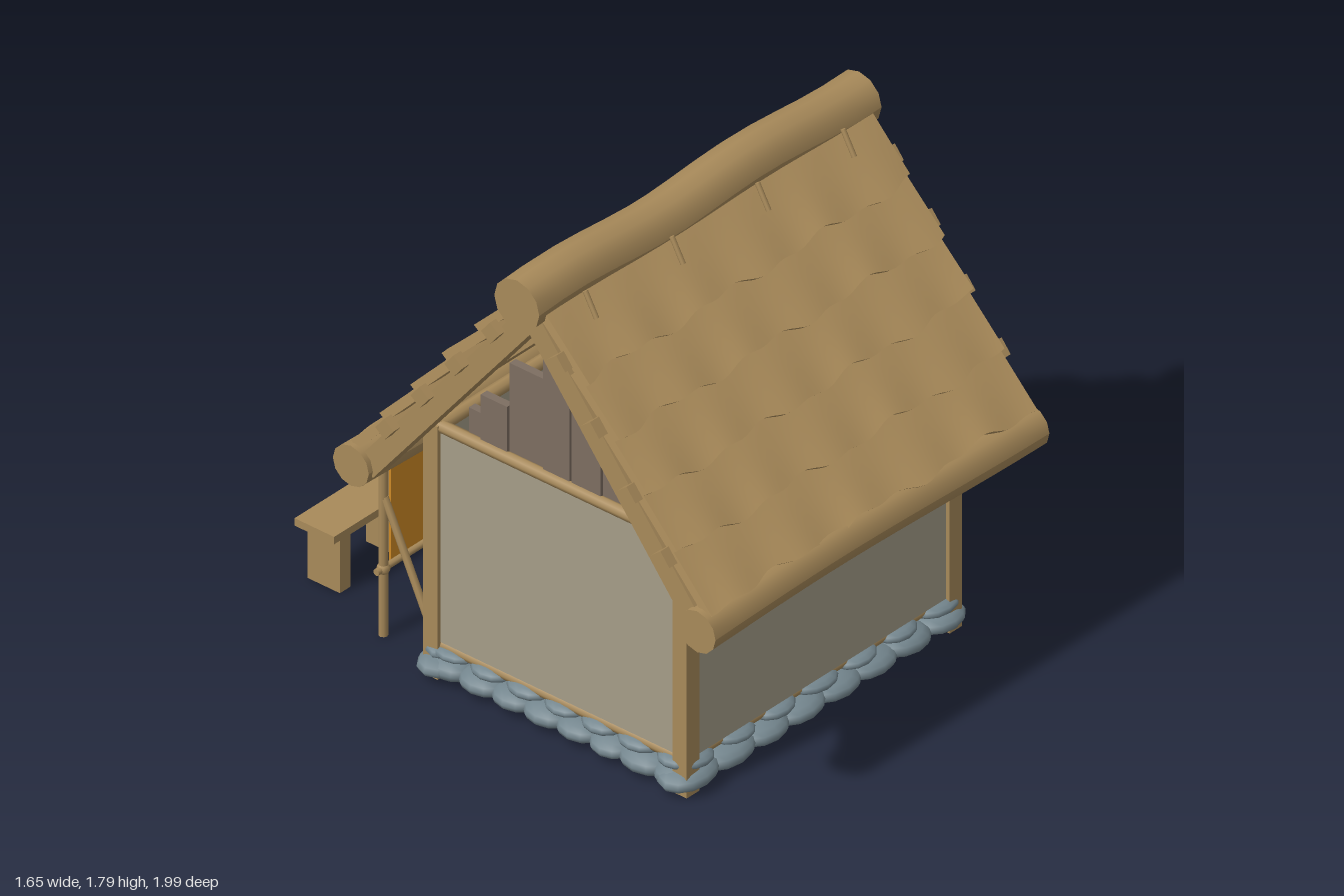
import * as THREE from 'three';

const mat = (name, color, side = THREE.FrontSide) => {
  const m = new THREE.MeshStandardMaterial({ color, side });
  m.name = name;
  return m;
};

export function createModel() {
  const thatch = mat('thatch', 0xb2925f);
  const wood = mat('wood', 0xa88a5a);
  const plaster = mat('plaster', 0xa59d88);
  const plank = mat('weathered plank', 0x7d6e61);
  const stone = mat('stone', 0x74868e);
  const ochre = mat('ochre', 0xcf8a26);
  const red = mat('red cloth', 0x9a2a2a, THREE.DoubleSide);
  const grey = mat('grey cloth', 0x9a978b, THREE.DoubleSide);
  const slate = mat('slate door', 0x4a575e);
  const iron = mat('iron', 0x35322e);

  const root = new THREE.Group();
  root.name = 'cottage';
  let seed = 7;
  const rnd = () => (seed = (seed * 16807) % 2147483647) / 2147483647;

  const add = (name, geo, m, parent = root) => {
    const mesh = new THREE.Mesh(geo, m);
    mesh.name = name;
    parent.add(mesh);
    return mesh;
  };
  const group = (name, parent = root) => {
    const g = new THREE.Group();
    g.name = name;
    parent.add(g);
    return g;
  };
  // box given by its limits on each axis
  const box = (name, m, x0, x1, y0, y1, z0, z1, parent) => {
    const b = add(name, new THREE.BoxGeometry(x1 - x0, y1 - y0, z1 - z0), m, parent);
    b.position.set((x0 + x1) / 2, (y0 + y1) / 2, (z0 + z1) / 2);
    return b;
  };
  // round bar between two points
  const rod = (name, m, a, b, r, parent) => {
    const p = new THREE.Vector3(...a), q = new THREE.Vector3(...b);
    const mesh = add(name, new THREE.CylinderGeometry(r, r, p.distanceTo(q), 8), m, parent);
    mesh.position.copy(p).lerp(q, 0.5);
    mesh.quaternion.setFromUnitVectors(new THREE.Vector3(0, 1, 0), q.sub(p).normalize());
    return mesh;
  };
  // gently bent log along x
  const log = (name, r, half, y, z, bend) => {
    const g = new THREE.CylinderGeometry(r, r, half * 2, 12, 14).rotateZ(Math.PI / 2);
    const p = g.attributes.position;
    for (let i = 0; i < p.count; i++) p.setY(i, p.getY(i) + bend(p.getX(i)));
    g.computeVertexNormals();
    add(name, g, wood).position.set(0, y, z);
  };

  // walls and timber frame
  const walls = group('walls');
  box('frontWall', plaster, -0.6, 0.6, 0.135, 0.95, 0.69, 0.735, walls);
  box('backWallLeft', plaster, 0.44, 0.6, 0.135, 0.95, -0.32, -0.28, walls);
  box('backWallRight', plaster, -0.6, 0.03, 0.135, 0.95, -0.32, -0.28, walls);
  for (const s of [-1, 1]) {
    const side = box('sideWall', plaster, -0.02, 0.02, 0.145, 0.935, -0.295, 0.69, walls);
    side.position.x = s * 0.625;
    for (const z of [0.72, -0.32]) {
      box('cornerPost', wood, s * 0.63 - 0.03, s * 0.63 + 0.03, 0.01, 0.96, z - 0.03, z + 0.03, walls);
    }
    rod('topPlate', wood, [s * 0.635, 0.95, 0.76], [s * 0.635, 0.95, -0.35], 0.022, walls);
    rod('sideSill', wood, [s * 0.63, 0.13, 0.72], [s * 0.63, 0.13, -0.32], 0.02, walls);
    box('innerPost', wood, s * 0.59 - 0.015, s * 0.59 + 0.015, 0.1, 0.95, 0.18, 0.23, walls);
  }
  for (const z of [0.71, -0.3]) {
    rod('crossPlate', wood, [-0.64, 0.95, z], [0.64, 0.95, z], 0.025, walls);
    rod('crossSill', wood, [-0.63, 0.12, z], [0.63, 0.12, z], 0.018, walls);
  }
  for (const x of [-0.05, 0.28]) box('innerPost', wood, x - 0.02, x + 0.02, 0.01, 0.95, 0.655, 0.69, walls);

  // door with its frame and hinges
  const door = group('door');
  box('doorPanel', slate, 0.08, 0.41, 0.12, 0.86, -0.325, -0.29, door);
  for (const x of [0.05, 0.43]) box('doorJamb', wood, x - 0.03, x + 0.03, 0.05, 0.92, -0.345, -0.28, door);
  box('doorLintel', wood, 0.02, 0.46, 0.86, 0.92, -0.348, -0.28, door);
  for (const y of [0.29, 0.66]) box('doorHinge', iron, 0.04, 0.2, y - 0.015, y + 0.015, -0.362, -0.322, door);

  // shuttered window
  const win = group('window');
  box('shutter', plank, -0.54, -0.18, 0.4, 0.66, -0.335, -0.3, win);
  for (const y of [0.385, 0.665]) box('windowRail', wood, -0.57, -0.15, y - 0.017, y + 0.017, -0.365, -0.31, win);
  for (const x of [-0.555, -0.36, -0.165]) box('windowStile', wood, x - 0.015, x + 0.015, 0.39, 0.66, -0.36, -0.31, win);

  // stepped gable planks: z from, z to, top
  const planks = [[-0.19, -0.1, 1.06], [-0.13, -0.02, 1.14], [-0.02, 0.12, 1.3], [0.13, 0.24, 1.465],
    [0.2, 0.265, 1.45], [0.25, 0.37, 1.33], [0.37, 0.53, 1.135], [0.5, 0.58, 1.06]];
  for (const s of [-1, 1]) {
    const g = group('gablePlanks');
    planks.forEach(([a, b, top], i) => {
      const x = s * (0.61 + (i % 2) * 0.012);
      box('gablePlank', plank, x - 0.015, x + 0.015, 0.965, top, a, b, g);
    });
  }

  // roof slopes: local z runs down the slope, local y points outward
  for (const s of [1, -1]) {
    const slope = group(s > 0 ? 'frontRoof' : 'backRoof');
    slope.position.set(0, 1.68, 0.2);
    slope.rotation.order = 'YXZ';
    slope.rotation.set(0.896, s > 0 ? 0 : Math.PI, 0);
    for (let k = 0; k < 5; k++) {
      const len = 0.245, g = new THREE.BoxGeometry(1.56, 0.034, len, 60, 1, 4);
      const p = g.attributes.position, ph = rnd() * 6;
      for (let i = 0; i < p.count; i++) {
        const x = p.getX(i), t = p.getZ(i) / len + 0.5;
        const rag = 0.011 * Math.sin(x * 13 + ph) + 0.008 * Math.sin(x * 31 + ph * 3);
        p.setZ(i, p.getZ(i) + t * t * rag);
        p.setY(i, p.getY(i) + t * (0.024 + 0.006 * Math.sin(x * 21 + ph * 2)));
      }
      g.computeVertexNormals();
      add('thatchCourse', g, thatch, slope).position.set(0, 0.035, 0.165 + 0.207 * k);
    }
    for (const d of [0.2, 0.435, 0.67, 0.9]) {
      box('purlin', wood, -0.8 - 0.03 * rnd(), 0.8 + 0.02 * rnd(), -0.005, 0.045, d - 0.03, d + 0.03, slope);
    }
    for (const x of [-0.74, 0.74]) {
      box('rafter', wood, x - 0.04, x + 0.04, -0.065, 0.015, 0, 1.13, slope);
    }
    for (const x of [-0.62, -0.205, 0.205, 0.615]) {
      rod('ridgePeg', wood, [x, 0.085, 0.04], [x, 0.07, 0.135], 0.009, slope);
    }
  }
  log('ridgeLog', 0.094, 0.82, 1.69, 0.18, x => 0.012 * Math.cos(x * 7 - 1.9) - 0.006 * x);
  log('frontEaveLog', 0.077, 0.8, 0.785, 0.915, x => 0.012 * Math.cos((x + 0.2) * 3) - 0.006);
  log('backEaveLog', 0.075, 0.8, 0.775, -0.53, x => 0.008 * Math.sin(x * 5));

  // two courses of foundation stones
  const ball = new THREE.SphereGeometry(1, 12, 8);
  const pebble = (x, y, z, a, b, c, parent) => {
    const m = add('foundationStone', ball, stone, parent);
    m.position.set(x, y, z);
    m.scale.set(a, b, c);
    m.rotation.z = (rnd() - 0.5) * 0.12;
  };
  const base = group('foundation');
  const course = (n, y, long, high, deep) => {
    for (let i = 0; i < n; i++) {
      const t = (i + 0.5) / n, j = () => 0.9 + 0.2 * rnd();
      for (const z of [0.7, -0.3]) {
        const x = -0.68 + 1.36 * t;
        if (z > 0 || x < 0.03 || x > 0.42) pebble(x, y, z, long * j(), high * j(), deep, base);
      }
      for (const x of [-0.61, 0.61]) pebble(x, y, -0.33 + 1.08 * t, deep, high * j(), long * 0.85 * j(), base);
    }
  };
  course(8, 0.058, 0.113, 0.041, 0.085);
  course(7, 0.112, 0.09, 0.026, 0.07);
  pebble(0.24, 0.05, -0.46, 0.17, 0.036, 0.13, base);

  // washing line with two cloths
  const line = group('washingLine');
  for (const x of [0.28, 0.75]) {
    rod('linePole', wood, [x, 0.01, -0.665], [x, 0.86, -0.665], 0.016, line);
    add('lineKnot', new THREE.SphereGeometry(0.021, 8, 6), wood, line).position.set(x, 0.81, -0.665);
  }
  rod('lineRail', wood, [0.25, 0.81, -0.665], [0.78, 0.81, -0.665], 0.007, line);
  box('greyCloth', grey, 0.53, 0.71, 0.56, 0.81, -0.672, -0.664, line);
  box('redCloth', red, 0.32, 0.5, 0.5, 0.81, -0.672, -0.664, line);

  // stretched hide on a braced frame
  const frame = group('dryingFrame');
  for (const x of [-0.045, -0.575]) {
    rod('framePost', wood, [x, 0.01, -0.59], [x, 0.77, -0.59], 0.016, frame);
    rod('frameBrace', wood, [x, 0.53, -0.585], [x, 0.14, -0.4], 0.013, frame);
    for (const y of [0.26, 0.73]) {
      add('frameLashing', new THREE.SphereGeometry(0.023, 8, 6), wood, frame).position.set(x, y, -0.59);
    }
  }
  for (const y of [0.26, 0.73]) rod('frameRail', wood, [-0.61, y, -0.59], [-0.01, y, -0.59], 0.012, frame);
  box('ochreHide', ochre, -0.53, -0.09, 0.26, 0.73, -0.605, -0.597, frame);

  // basket of grain
  const basket = group('basket');
  basket.position.set(0.71, 0, -0.38);
  const profile = [[0, 0.01], [0.085, 0.01], [0.113, 0.145], [0.124, 0.145], [0.124, 0.17], [0.105, 0.17], [0.1, 0.13]];
  add('basketBody', new THREE.LatheGeometry(profile.map(p => new THREE.Vector2(...p)), 14).toNonIndexed(), wood, basket)
    .geometry.computeVertexNormals();
  const grain = add('grain', new THREE.SphereGeometry(0.106, 14, 6, 0, Math.PI * 2, 0, Math.PI / 2), ochre, basket);
  grain.scale.y = 0.3;
  grain.position.y = 0.152;

  // bench
  const bench = group('bench');
  box('benchSeat', wood, -0.53, -0.11, 0.222, 0.25, -1, -0.835, bench);
  for (const x of [-0.46, -0.18]) box('benchLeg', wood, x - 0.025, x + 0.025, 0.01, 0.225, -0.985, -0.85, bench);

  return root;
}
